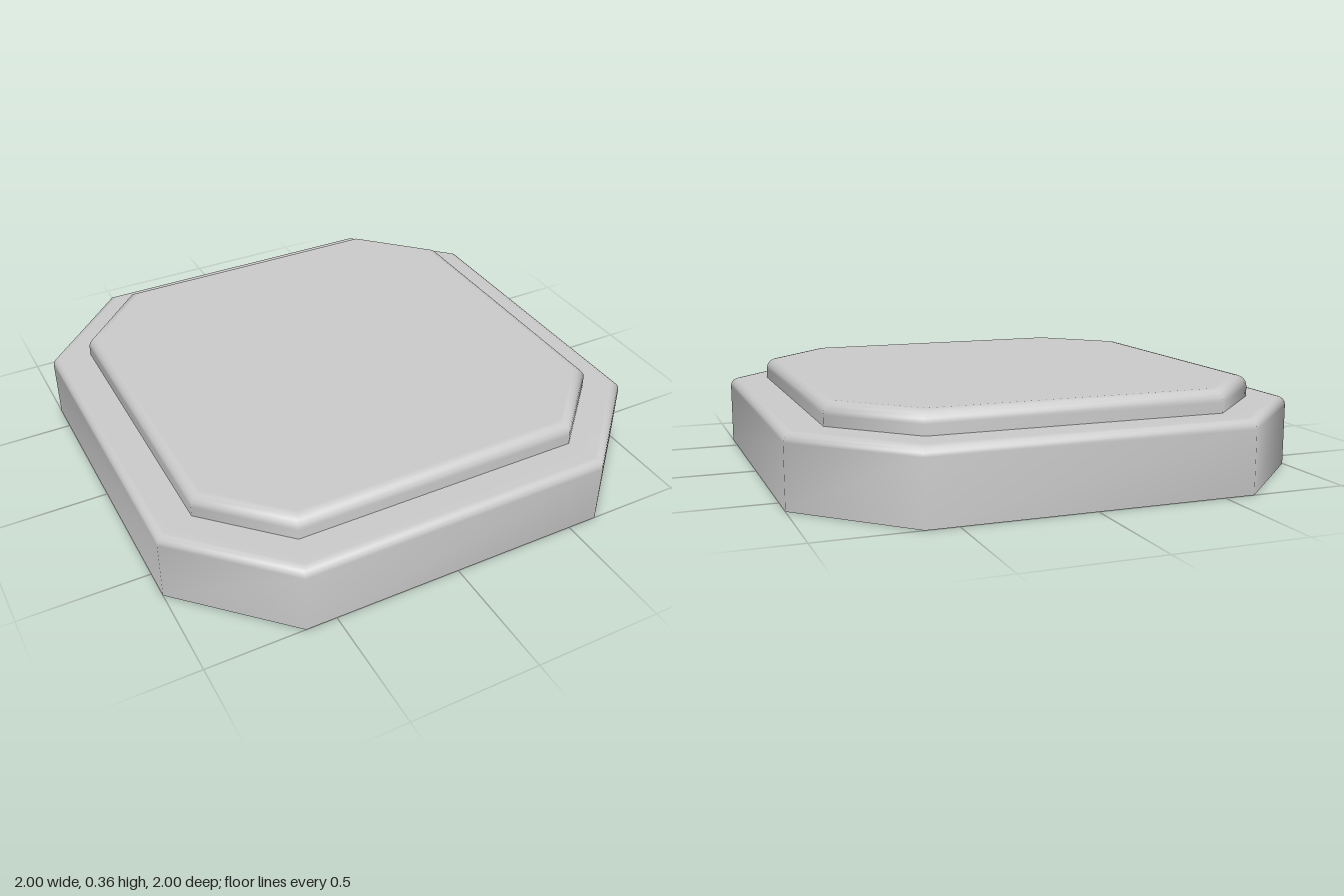
import * as THREE from 'three';

// Eight corners of a chamfered square, pulled inwards evenly by inset
function octagon(half, corner, inset) {
  const h = half - inset;
  const c = corner - inset * (Math.SQRT2 - 1);
  return [[h, -c], [h, c], [c, h], [-c, h], [-h, c], [-h, -c], [-c, -h], [c, -h]];
}

// Smooth shell, open below: one octagon ring per [inset, y] of the profile
function shell(name, half, corner, profile, capped, material) {
  const positions = [];
  const index = [];
  for (const [inset, y] of profile) {
    for (const [x, z] of octagon(half, corner, inset)) positions.push(x, y, -z);
  }
  for (let r = 0; r < profile.length - 1; r++) {
    for (let i = 0; i < 8; i++) {
      const a = r * 8 + i;
      const b = r * 8 + (i + 1) % 8;
      index.push(a, b, b + 8, a, b + 8, a + 8);
    }
  }
  if (capped) {
    const last = (profile.length - 1) * 8;
    const centre = positions.length / 3;
    positions.push(0, profile[profile.length - 1][1], 0);
    for (let i = 0; i < 8; i++) index.push(last + i, last + (i + 1) % 8, centre);
  }
  const geometry = new THREE.BufferGeometry();
  geometry.setAttribute('position', new THREE.Float32BufferAttribute(positions, 3));
  geometry.setIndex(index);
  geometry.computeVertexNormals();
  const mesh = new THREE.Mesh(geometry, material);
  mesh.name = name;
  return mesh;
}

// Wall that ends in a quarter-round edge
function roundedWall(top, radius, steps = 4) {
  const profile = [[0, 0]];
  for (let i = 0; i <= steps; i++) {
    const t = (i / steps) * Math.PI / 2;
    profile.push([radius * (1 - Math.cos(t)), top - radius + radius * Math.sin(t)]);
  }
  return profile;
}

export function createModel() {
  const group = new THREE.Group();
  group.name = 'steppedOctagonalPlate';
  const material = new THREE.MeshStandardMaterial({ color: 0xcccccc, side: THREE.DoubleSide });

  // Outer frame: wall, rounded edge and flat ledge
  const frame = [...roundedWall(0.277, 0.036), [0.15, 0.277]];
  group.add(shell('outerFrame', 1, 0.62, frame, false, material));

  // Raised inner panel: hollow, its wall runs down to the ground
  group.add(shell('innerPanel', 0.85, 0.57, roundedWall(0.363, 0.046), true, material));

  return group;
}
